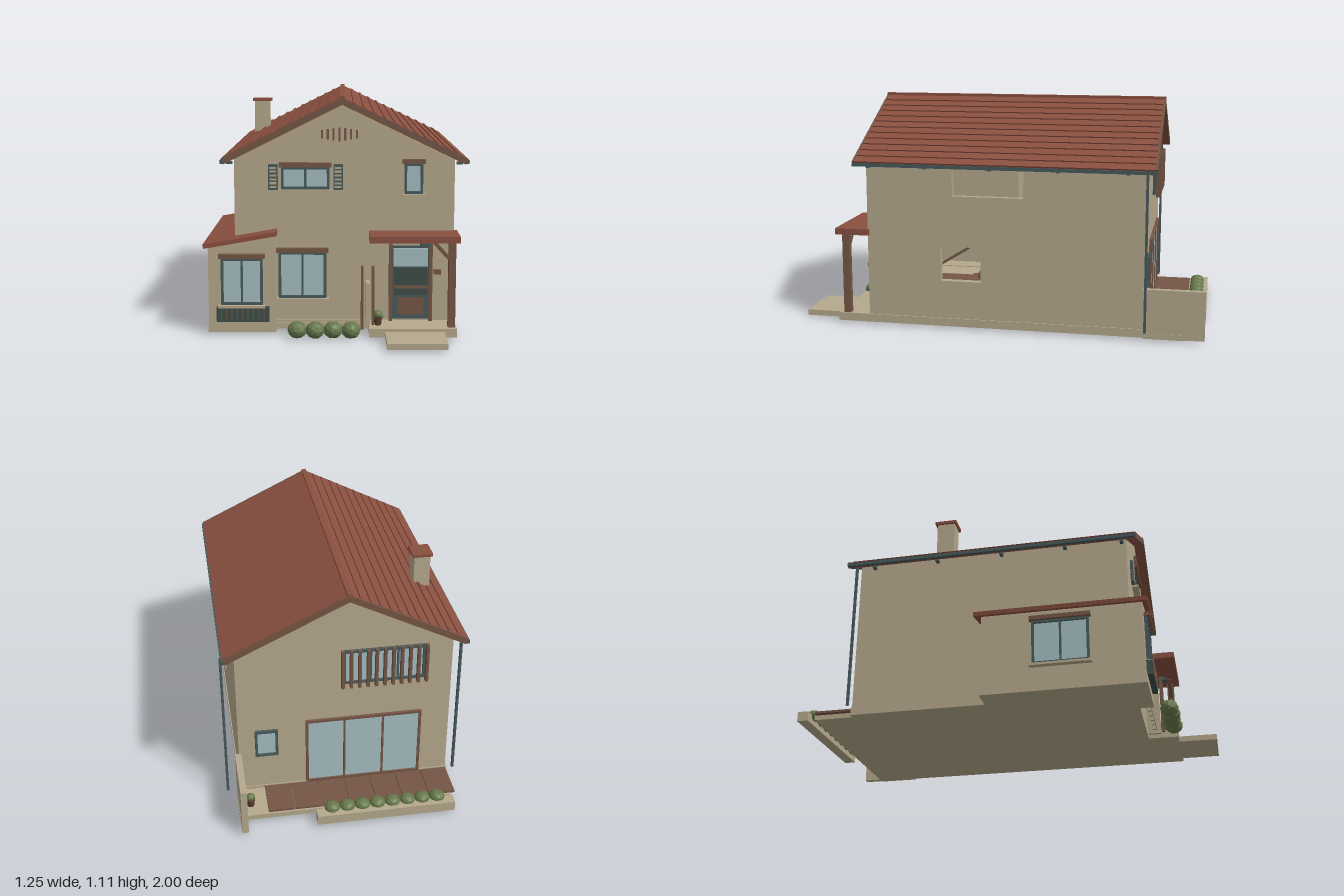
import * as THREE from 'three';

const mat = (name, color, side = THREE.FrontSide) => {
  const m = new THREE.MeshStandardMaterial({ color, side });
  m.name = name;
  return m;
};

export function createModel() {
  const M = {
    wall: mat('sand render', 0xb5a88c),
    roof: mat('clay tile', 0x8a5040),
    wood: mat('brown timber', 0x745545),
    teal: mat('dark teal paint', 0x46595a),
    door: mat('deep green panel', 0x3d4d48),
    glass: mat('pale glass', 0xa4bdc1),
    leaf: mat('leaf green', 0x66784a),
    pot: mat('dark clay', 0x5b3b31),
  };
  M.leaf.flatShading = true;
  const house = new THREE.Group();
  house.name = 'house';

  const add = (parent, name, geo, m) => {
    const mesh = new THREE.Mesh(geo, m);
    mesh.name = name;
    parent.add(mesh);
    return mesh;
  };
  // Box given by its limits on each axis
  const box = (name, m, x0, x1, y0, y1, z0, z1, parent = house) => {
    const b = add(parent, name, new THREE.BoxGeometry(x1 - x0, y1 - y0, z1 - z0), m);
    b.position.set((x0 + x1) / 2, (y0 + y1) / 2, (z0 + z1) / 2);
    return b;
  };
  const rect = (C, x0, x1, y0, y1) => new C([[x0, y0], [x1, y0], [x1, y1], [x0, y1]].map(p => new THREE.Vector2(...p)));
  // Flat plate in the xy plane with rectangular openings
  const plate = (name, m, shape, holes, z, depth, parent = house) => {
    holes.forEach(h => shape.holes.push(rect(THREE.Path, ...h)));
    const p = add(parent, name, new THREE.ExtrudeGeometry(shape, { depth, bevelEnabled: false }), m);
    p.position.z = z;
    return p;
  };
  const poly = pts => new THREE.Shape(pts.map(p => new THREE.Vector2(...p)));
  // Timber or rail between two points in the xy plane
  const bar = (name, m, a, b, thick, z0, z1, parent = house) => {
    const dx = b[0] - a[0], dy = b[1] - a[1];
    const s = add(parent, name, new THREE.BoxGeometry(Math.hypot(dx, dy), thick, z1 - z0), m);
    s.position.set((a[0] + b[0]) / 2, (a[1] + b[1]) / 2, (z0 + z1) / 2);
    s.rotation.z = Math.atan2(dy, dx);
    return s;
  };
  // Framed window facing +z at local z = 0
  const windowUnit = (name, x0, x1, y0, y1, panes, trim = true, frame = M.teal) => {
    const g = new THREE.Group(), t = 0.012;
    g.name = name;
    plate('windowFrame', frame, rect(THREE.Shape, x0, x1, y0, y1), [[x0 + t, x1 - t, y0 + t, y1 - t]], -0.005, 0.02, g);
    box('glass', M.glass, x0 + t, x1 - t, y0 + t, y1 - t, -0.002, 0.006, g);
    for (let i = 1; i < panes; i++) {
      const x = x0 + (x1 - x0) * i / panes;
      box('mullion', frame, x - 0.005, x + 0.005, y0 + t, y1 - t, -0.004, 0.013, g);
    }
    if (trim) {
      box('lintel', M.wood, x0 - 0.01, x1 + 0.01, y1, y1 + 0.02, -0.005, 0.03, g);
      box('sill', M.wall, x0 - 0.012, x1 + 0.012, y0 - 0.012, y0, -0.005, 0.032, g);
    }
    house.add(g);
    return g;
  };

  // Floor slabs, plinths and inner floors
  box('mainPlinth', M.wall, -0.485, 0.555, 0.01, 0.05, -0.715, 0.66);
  box('wingPlinth', M.wall, -0.603, -0.285, 0.01, 0.055, -0.05, 0.725);
  box('groundFloor', M.wood, -0.45, 0.52, 0.05, 0.054, -0.68, 0.62);
  box('upperFloor', M.wood, -0.45, 0.52, 0.45, 0.47, -0.68, 0.62);

  // Gable walls
  const gable = () => poly([[-0.48, 0.02], [0.55, 0.02], [0.55, 0.815], [0.025, 1.07], [-0.48, 0.825]]);
  plate('frontWall', M.wall, gable(), [], 0.62, 0.03);
  plate('backWall', M.wall, gable(), [], -0.71, 0.03);

  // Side walls, drawn with local x running along -z
  const sideWall = (name, x, z0, z1, top, holes, depth) => {
    const w = plate(name, M.wall, rect(THREE.Shape, -z1, -z0, 0.02, top), holes, 0, depth);
    w.rotation.y = Math.PI / 2;
    w.position.x = x;
  };
  sideWall('rightWall', 0.52, -0.68, 0.62, 0.815, [[-0.28, -0.08, 0.24, 0.41], [-0.22, 0.13, 0.66, 0.8]], 0.03);
  sideWall('leftWall', -0.48, -0.68, 0.62, 0.825, [[-0.6, 0.0, 0.06, 0.41]], 0.03);
  box('openingSill', M.wall, 0.545, 0.556, 0.232, 0.24, 0.075, 0.285);

  // Inner partition and stair
  box('partition', M.wall, -0.44, 0.51, 0.47, 0.83, -0.1, -0.08);
  for (let i = 0; i < 9; i++) {
    const z = 0.35 - i * 0.055;
    box('stairTread', M.wood, 0.25, 0.4, 0.06 + i * 0.04, 0.085 + i * 0.04, z - 0.055, z);
  }
  const rail = bar('stairRail', M.wood, [-0.4, 0.235], [-0.1, 0.42], 0.012, -0.006, 0.006);
  rail.rotation.set(Math.atan2(0.185, 0.3), 0, 0);
  rail.geometry = new THREE.BoxGeometry(0.012, 0.012, 0.34);
  rail.position.set(0.41, 0.335, 0.24);

  // Side wing with lean-to roof
  plate('wingFront', M.wall, poly([[-0.6, 0.02], [-0.285, 0.02], [-0.285, 0.468], [-0.6, 0.412]]), [], 0.7, 0.02);
  plate('wingBack', M.wall, poly([[-0.6, 0.02], [-0.47, 0.02], [-0.47, 0.435], [-0.6, 0.412]]), [], -0.045, 0.02);
  sideWall('wingSide', -0.6, -0.025, 0.7, 0.412, [[-0.47, -0.2, 0.14, 0.36]], 0.02);
  box('wingReturn', M.wall, -0.305, -0.285, 0.02, 0.465, 0.65, 0.7);
  bar('wingRoof', M.roof, [-0.62, 0.421], [-0.28, 0.481], 0.02, -0.08, 0.745);

  // Main roof with tile battens, gable boards and ridge
  const ridge = [0.025, 1.09];
  for (const [side, ex] of [[-1, -0.53], [1, 0.6]]) {
    const eave = [ex, 0.813];
    bar('roofSlope', M.roof, eave, ridge, 0.028, -0.755, 0.692);
    for (const z of [-0.765, 0.69]) bar('gableBoard', M.wood, eave, ridge, 0.03, z, z + 0.012);
    const dx = eave[0] - ridge[0], dy = eave[1] - ridge[1], len = Math.hypot(dx, dy);
    for (let i = 1; i < 12; i++) {
      const t = i / 12;
      const b = box('tileBatten', M.roof, -0.007, 0.007, -0.004, 0.004, -0.755, 0.69);
      b.position.x = ridge[0] + dx * t + side * -dy / len * 0.016;
      b.position.y = ridge[1] + dy * t + Math.abs(dx) / len * 0.016;
      b.rotation.z = Math.atan2(dy, Math.abs(dx)) * side;
    }
    // Gutter, its brackets and the downpipe
    const gx = ex + side * 0.004;
    box('gutter', M.teal, gx - 0.008, gx + 0.008, 0.802, 0.818, -0.765, 0.7);
    for (const z of [-0.63, -0.3, 0.03, 0.35, 0.63]) {
      box('gutterBracket', M.teal, gx - side * 0.03 - 0.015, gx - side * 0.03 + 0.015, 0.793, 0.806, z - 0.008, z + 0.008);
    }
    const px = side > 0 ? 0.612 : -0.515;
    box('downpipe', M.teal, px - 0.006, px + 0.006, 0.05, 0.81, -0.727, -0.715);
  }
  box('ridgeCap', M.roof, 0.013, 0.037, 1.09, 1.113, -0.765, 0.7);

  // Chimney
  box('chimney', M.wall, -0.455, -0.375, 0.82, 1.04, -0.32, -0.23);
  box('chimneyCap', M.roof, -0.465, -0.365, 1.04, 1.055, -0.33, -0.22);

  // Front windows
  windowUnit('upperWindow', -0.26, -0.035, 0.678, 0.784, 2).position.z = 0.65;
  windowUnit('smallWindow', 0.315, 0.402, 0.658, 0.8, 1).position.z = 0.65;
  windowUnit('livingWindow', -0.275, -0.05, 0.16, 0.38, 2).position.z = 0.65;
  windowUnit('wingWindow', -0.54, -0.345, 0.142, 0.365, 2).position.z = 0.72;
  // Wing side window
  const sw = windowUnit('wingSideWindow', 0.2, 0.47, 0.14, 0.36, 2);
  sw.rotation.y = -Math.PI / 2;
  sw.position.x = -0.597;
  // Back windows and sliding door
  const back = (...a) => {
    const g = windowUnit(...a);
    g.rotation.y = Math.PI;
    g.position.z = -0.71;
  };
  back('slidingDoor', -0.225, 0.34, 0.05, 0.415, 3, false, M.wood);
  back('smallBackWindow', -0.47, -0.36, 0.235, 0.38, 1, false);
  back('upperBackWindow', -0.045, 0.345, 0.61, 0.79, 3, false);
  for (let i = 0; i < 11; i++) {
    const x = 0.05 - i * 0.04;
    box('screenSlat', M.wood, x - 0.007, x + 0.007, 0.6, 0.8, -0.75, -0.728);
  }

  // Shutters with louvres
  for (const x of [-0.298, 0.006]) {
    box('shutter', M.teal, x - 0.022, x + 0.022, 0.675, 0.795, 0.65, 0.664);
    for (let i = 0; i < 6; i++) box('louvre', M.wall, x - 0.016, x + 0.016, 0.685 + i * 0.018, 0.694 + i * 0.018, 0.66, 0.669);
  }
  // Gable vent slats
  for (let i = -3; i <= 3; i++) {
    const x = 0.012 + i * 0.027, h = 0.032 - Math.abs(i) * 0.004;
    box('ventSlat', M.wood, x - 0.005, x + 0.005, 0.935 - h, 0.935 + h, 0.65, 0.662);
  }
  // Window box with slats
  box('windowBox', M.door, -0.56, -0.315, 0.065, 0.135, 0.72, 0.75);
  for (let i = 0; i < 9; i++) box('windowBoxSlat', M.wood, -0.54 + i * 0.025, -0.536 + i * 0.025, 0.07, 0.13, 0.75, 0.754);

  // Front door
  box('doorLeaf', M.teal, 0.262, 0.432, 0.06, 0.41, 0.65, 0.662);
  for (const x of [0.245, 0.433]) box('doorJamb', M.wood, x, x + 0.017, 0.05, 0.42, 0.65, 0.675);
  box('doorGlass', M.glass, 0.266, 0.428, 0.312, 0.4, 0.66, 0.667);
  box('doorPanel', M.door, 0.27, 0.424, 0.175, 0.308, 0.66, 0.667);
  box('doorLowerPanel', M.wood, 0.285, 0.41, 0.08, 0.165, 0.66, 0.669);
  box('doorRail', M.wood, 0.27, 0.424, 0.21, 0.222, 0.665, 0.685);
  box('mailbox', M.wood, 0.457, 0.49, 0.275, 0.298, 0.65, 0.675);

  // Porch
  box('canopy', M.roof, 0.15, 0.565, 0.452, 0.482, 0.642, 0.815);
  box('porchPost', M.wood, 0.515, 0.548, 0.05, 0.455, 0.75, 0.785);
  bar('porchBrace', M.wood, [0.445, 0.452], [0.52, 0.37], 0.016, 0.758, 0.778);
  box('lampShade', M.teal, 0.387, 0.435, 0.425, 0.44, 0.71, 0.755);
  box('lampStem', M.teal, 0.403, 0.419, 0.44, 0.454, 0.725, 0.741);
  box('porchSlab', M.wall, 0.15, 0.555, 0.01, 0.05, 0.65, 0.81);
  box('frontStep', M.wall, 0.225, 0.497, 0.008, 0.036, 0.8, 1.0);
  for (const x of [0.112, 0.162]) box('screenPost', M.wood, x, x + 0.013, 0.03, 0.33, 0.73, 0.746);
  box('screenWall', M.wall, 0.134, 0.155, 0.03, 0.245, 0.655, 0.725);

  // Low edging along the front bed
  box('edgingRail', M.wall, -0.285, 0.15, 0.04, 0.049, 0.695, 0.708);
  for (let i = 0; i < 7; i++) box('edgingPost', M.wall, -0.283 + i * 0.065, -0.27 + i * 0.065, 0.02, 0.045, 0.69, 0.706);

  // Rear terrace, deck, garden wall and planter
  box('terrace', M.wall, -0.455, 0.57, 0.01, 0.035, -0.91, -0.71);
  for (let i = 0; i < 7; i++) {
    const x = -0.48 + i * 0.1307;
    box('deckPanel', M.wood, x, x + 0.128, 0.034, 0.045, -0.9, -0.712);
  }
  box('gardenWall', M.wall, 0.538, 0.568, 0.012, 0.25, -1.0, -0.705);
  box('planter', M.wall, -0.455, 0.21, 0.012, 0.06, -1.0, -0.945);

  // Shrubs and pots
  const shrub = (x, y, z, r, flat = 0.9) => {
    const s = add(house, 'shrub', new THREE.IcosahedronGeometry(r, 1), M.leaf);
    s.position.set(x, y, z);
    s.scale.y = flat;
    s.rotation.y = x * 9;
  };
  for (let i = 0; i < 4; i++) shrub(-0.183 + i * 0.083, 0.04, 0.79 - (i % 2) * -0.004, 0.045);
  for (let i = 0; i < 8; i++) shrub(-0.378 + i * 0.073, 0.063, -0.943, 0.038, 0.75);
  for (const [x, y, z] of [[0.192, 0.05, 0.735], [0.512, 0.035, -0.835]]) {
    const p = add(house, 'plantPot', new THREE.CylinderGeometry(0.021, 0.016, 0.038, 10), M.pot);
    p.position.set(x, y + 0.019, z);
    shrub(x, y + 0.05, z, 0.022);
    shrub(x + 0.014, y + 0.044, z + 0.008, 0.013);
  }
  return house;
}
